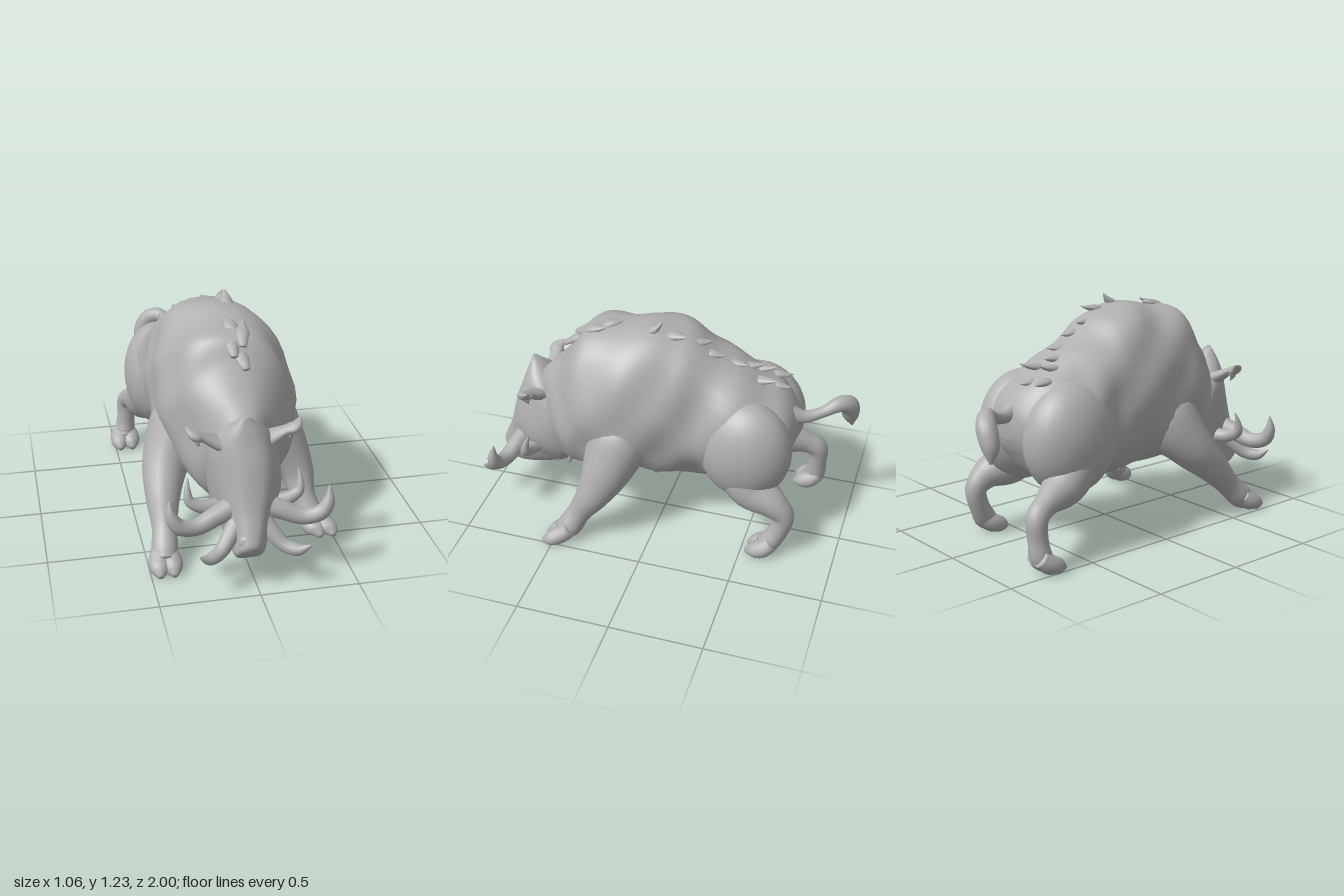
import * as THREE from 'three';

const hide = new THREE.MeshStandardMaterial({ color: 0xb0b0b0 });
hide.name = 'grey hide';
const V = (x, y, z) => new THREE.Vector3(x, y, z);

// Smooth closed skin over rings of points, with a pole at each end
function skin(rings) {
  const n = rings[0].length, pos = [], idx = [];
  rings.forEach(r => r.forEach(p => pos.push(p.x, Math.max(p.y, 0.004), p.z)));
  for (let i = 0; i < rings.length - 1; i++)
    for (let j = 0; j < n; j++) {
      const a = i * n + j, b = i * n + (j + 1) % n;
      idx.push(a, b, a + n, b, b + n, a + n);
    }
  [0, rings.length - 1].forEach((i, end) => {
    const c = rings[i].reduce((s, p) => s.add(p), V(0, 0, 0)).divideScalar(n);
    const pole = pos.length / 3;
    pos.push(c.x, Math.max(c.y, 0.004), c.z);
    for (let j = 0; j < n; j++) {
      const a = i * n + j, b = i * n + (j + 1) % n;
      idx.push(...(end ? [a, b, pole] : [b, a, pole]));
    }
  });
  // turn the faces outward when the signed volume is negative
  let vol = 0;
  const at = k => V(pos[3 * k], pos[3 * k + 1], pos[3 * k + 2]);
  for (let k = 0; k < idx.length; k += 3) vol += at(idx[k]).dot(at(idx[k + 1]).cross(at(idx[k + 2])));
  if (vol < 0) idx.reverse();
  const g = new THREE.BufferGeometry();
  g.setAttribute('position', new THREE.Float32BufferAttribute(pos, 3));
  g.setIndex(idx);
  g.computeVertexNormals();
  return g;
}

// Sections: [centre x, half width, top y, top z, bottom y, bottom z];
// narrow makes the top of each section slimmer than its bottom
function loft(rows, steps, power, narrow, lump) {
  const cA = new THREE.CatmullRomCurve3(rows.map(r => V(r[0], r[2], r[3])));
  const cB = new THREE.CatmullRomCurve3(rows.map(r => V(r[1], r[4], r[5])));
  const rings = [];
  for (let i = 0; i <= steps; i++) {
    const A = cA.getPoint(i / steps), B = cB.getPoint(i / steps), ring = [];
    for (let j = 0; j < 40; j++) {
      const a = j / 40 * Math.PI * 2, s = Math.sin(a), t = Math.cos(a);
      const w = Math.sign(s) * Math.abs(s) ** power * B.x * (1 - narrow * t);
      const p = V(A.x + w, (A.y + B.y) / 2 + t * (A.y - B.y) / 2, (A.z + B.z) / 2 + t * (A.z - B.z) / 2);
      const bump = lump * Math.sin(p.z * 17 + 2) * Math.sin(p.y * 15 + p.x * 9);
      p.x += bump * s;
      p.y += bump * t;
      ring.push(p);
    }
    rings.push(ring);
  }
  return skin(rings);
}

// Round tapering form along a curve: points are [x, y, z, radius]
function taper(points, steps = 20, sides = 16, flat = 1) {
  const path = new THREE.CatmullRomCurve3(points.map(p => V(p[0], p[1], p[2])));
  const rad = new THREE.CatmullRomCurve3(points.map((p, i) => V(p[3], i * .1, 0)));
  const rings = [], start = path.getTangent(0);
  let side = Math.abs(start.x) > .8 ? V(0, 0, 1) : V(1, 0, 0);
  for (let i = 0; i <= steps; i++) {
    const u = i / steps, c = path.getPoint(u), t = path.getTangent(u), r = rad.getPoint(u).x;
    // carry the frame along the curve so that it never flips
    side = side.clone().addScaledVector(t, -side.dot(t)).normalize();
    const axis = side, up = t.clone().cross(axis);
    rings.push(Array.from({ length: sides }, (_, j) => {
      const a = j / sides * Math.PI * 2;
      return c.clone().addScaledVector(axis, Math.cos(a) * r).addScaledVector(up, Math.sin(a) * r * flat);
    }));
  }
  return skin(rings);
}

export function createModel() {
  const boar = new THREE.Group();
  boar.name = 'boar';
  const add = (name, geo) => {
    const m = new THREE.Mesh(geo, hide);
    m.name = name;
    boar.add(m);
    return m;
  };
  const ball = (name, x, y, z, rx, ry, rz) => {
    const m = add(name, new THREE.SphereGeometry(1, 28, 20));
    m.position.set(x, y, z);
    m.scale.set(rx, ry, rz);
  };

  // Humped trunk
  add('body', loft([
    [-.02, .13, .80, .70, .42, .62], [-.02, .21, .90, .60, .30, .56], [-.01, .28, 1.04, .49, .29, .48],
    [-.02, .325, 1.15, .40, .30, .40], [-.03, .36, 1.165, .20, .32, .20], [-.05, .345, 1.195, .03, .32, .03],
    [-.07, .325, 1.165, -.10, .31, -.10], [-.085, .305, 1.09, -.22, .31, -.22], [-.09, .32, 1.01, -.35, .32, -.35],
    [-.085, .31, .93, -.50, .35, -.50], [-.075, .25, .85, -.62, .42, -.61], [-.07, .16, .77, -.69, .52, -.68],
    [-.07, .06, .69, -.715, .60, -.71],
  ], 72, .82, .07, .014));

  // Long wedge head, hanging low, with a flat face narrower than the cheeks
  add('head', loft([
    [-.03, .025, .86, .765, .83, .71], [-.025, .12, .79, .79, .72, .60], [-.02, .165, .73, .81, .60, .52],
    [-.01, .18, .62, .85, .46, .47], [-.01, .17, .50, .885, .33, .49], [-.02, .13, .40, .915, .23, .58],
    [-.03, .095, .31, .955, .17, .72], [-.04, .07, .26, .975, .135, .86], [-.04, .04, .225, .965, .15, .885],
  ], 44, .76, .17, .006));
  ball('snout', -.04, .27, .93, .06, .05, .035);

  // Paired head details, mirrored about the face
  for (const s of [-1, 1]) {
    const cx = -.025, m = pts => pts.map(([x, y, z, r]) => [cx + s * x, y, z, r]);
    add('ear', taper(m([[.08, .68, .69, .075], [.15, .715, .70, .055], [.21, .75, .715, .036], [.25, .765, .72, .042], [.285, .80, .69, .006]]), 18, 14, .6));
    add('earFringe', taper(m([[.21, .75, .71, .025], [.235, .735, .72, .028], [.225, .70, .71, .004]]), 8, 8, .5));
    add('largeTusk', taper(m([[.06, .40, .79, .06], [.16, .37, .82, .05], [.27, .335, .85, .043], [.355, .36, .87, .04], [.39, .42, .87, .03], [.395, .50, .86, .004]]), 26, 14));
    add('lowerTusk', taper(m([[.05, .35, .83, .05], [.11, .275, .88, .043], [.16, .225, .92, .036], [.22, .215, .96, .03], [.275, .25, .99, .004]]), 22, 14));
    add('rearTusk', taper(m([[.10, .36, .70, .045], [.20, .37, .73, .036], [.275, .41, .73, .027], [.285, .46, .72, .018], [.28, .525, .70, .003]]), 20, 12));
    // hanging whiskers behind the jaw
    for (let i = 0; i < 3; i++)
      add('jawTuft', taper(m([[.09, .40, .50 + i * .07, .06], [.11, .32, .52 + i * .07, .035], [.12, .25, .54 + i * .07, .004]]), 8, 10, .7));
  }

  // Legs in mid stride, from deep inside the shoulder or hip to the toe
  const legs = {
    leftFrontLeg: [[.12, .74, .18, .12], [.195, .58, .20, .17], [.29, .42, .245, .135], [.355, .285, .305, .092], [.375, .17, .375, .066], [.405, .085, .425, .068], [.425, .05, .46, .055]],
    rightFrontLeg: [[-.17, .74, .20, .12], [-.25, .58, .22, .17], [-.35, .42, .31, .125], [-.39, .285, .44, .09], [-.40, .17, .55, .066], [-.415, .085, .635, .068], [-.42, .05, .68, .055]],
    leftHindLeg: [[.11, .50, -.44, .15], [.155, .385, -.53, .125], [.19, .325, -.655, .08], [.195, .26, -.715, .058], [.20, .16, -.695, .054], [.21, .08, -.65, .058], [.22, .05, -.62, .05]],
    rightHindLeg: [[-.29, .50, -.44, .15], [-.34, .385, -.55, .115], [-.39, .33, -.70, .065], [-.415, .28, -.775, .058], [-.425, .17, -.78, .052], [-.435, .085, -.77, .058], [-.44, .05, -.745, .05]],
  };
  for (const [name, pts] of Object.entries(legs)) {
    add(name, taper(pts, 32, 20));
    const [x, , z] = pts[6], lean = x > .3 ? .03 : 0;
    // two cloven toes that run together into one broad foot
    for (const s of [-1, 1])
      add(name + 'Hoof', taper([[x + s * .015, .09, z - .05, .05], [x + s * .03, .05, z, .056], [x + s * .034 + lean, .032, z + .05, .046], [x + s * .036 + lean * 1.4, .016, z + .09, .014]], 14, 14, .9));
  }
  ball('leftThigh', .105, .59, -.47, .185, .295, .25);
  ball('rightThigh', -.265, .59, -.45, .195, .295, .265);

  // Curled tail with a thick tuft
  add('tail', taper([[-.07, .74, -.64, .06], [-.10, .715, -.74, .035], [-.145, .735, -.83, .03], [-.19, .765, -.90, .042], [-.25, .73, -.945, .052], [-.295, .64, -.955, .045], [-.31, .565, -.965, .008]], 32, 16));

  // Ragged bristles lying along the spine: [x, y, z, length, lift]
  const bristles = [
    [.02, 1.05, .48, .07, .03], [-.03, 1.10, .43, .08, .04], [.02, 1.135, .39, .09, .04], [0, 1.15, .31, .07, .02],
    [.02, 1.18, .06, .05, .055], [0, 1.16, -.04, .09, .02], [-.02, 1.11, -.14, .10, .01], [-.03, 1.06, -.22, .10, 0],
    [-.09, 1.0, -.31, .12, .01], [-.10, .96, -.38, .13, .02], [-.16, .925, -.45, .11, .03],
    [-.08, .92, -.48, .11, .03], [-.19, .88, -.54, .10, 0], [-.12, .87, -.56, .09, 0],
  ];
  bristles.forEach(([x, y, z, l, lift], i) => {
    const sway = (i % 3 - 1) * .025;
    add('spineBristle', taper([[x, y - .04, z + .07, .02], [x + sway / 2, y, z, .036], [x + sway, y + lift * .5, z - l * .6, .022], [x + sway * 1.6, y + lift, z - l, .003]], 10, 10, .6));
  });

  // Shaggy tufts under the belly
  [[-.04, .08], [.03, .03], [-.07, -.03], [-.10, -.24], [0, -.29], [-.11, -.33]].forEach(([x, z], i) =>
    add('bellyTuft', taper([[x, .39, z, .09], [x, .33, z, .06], [x + .01, .29, z + .015, .03], [x + .015, .25 + i % 3 * .015, z, .004]], 10, 12, .9)));

  return boar;
}
